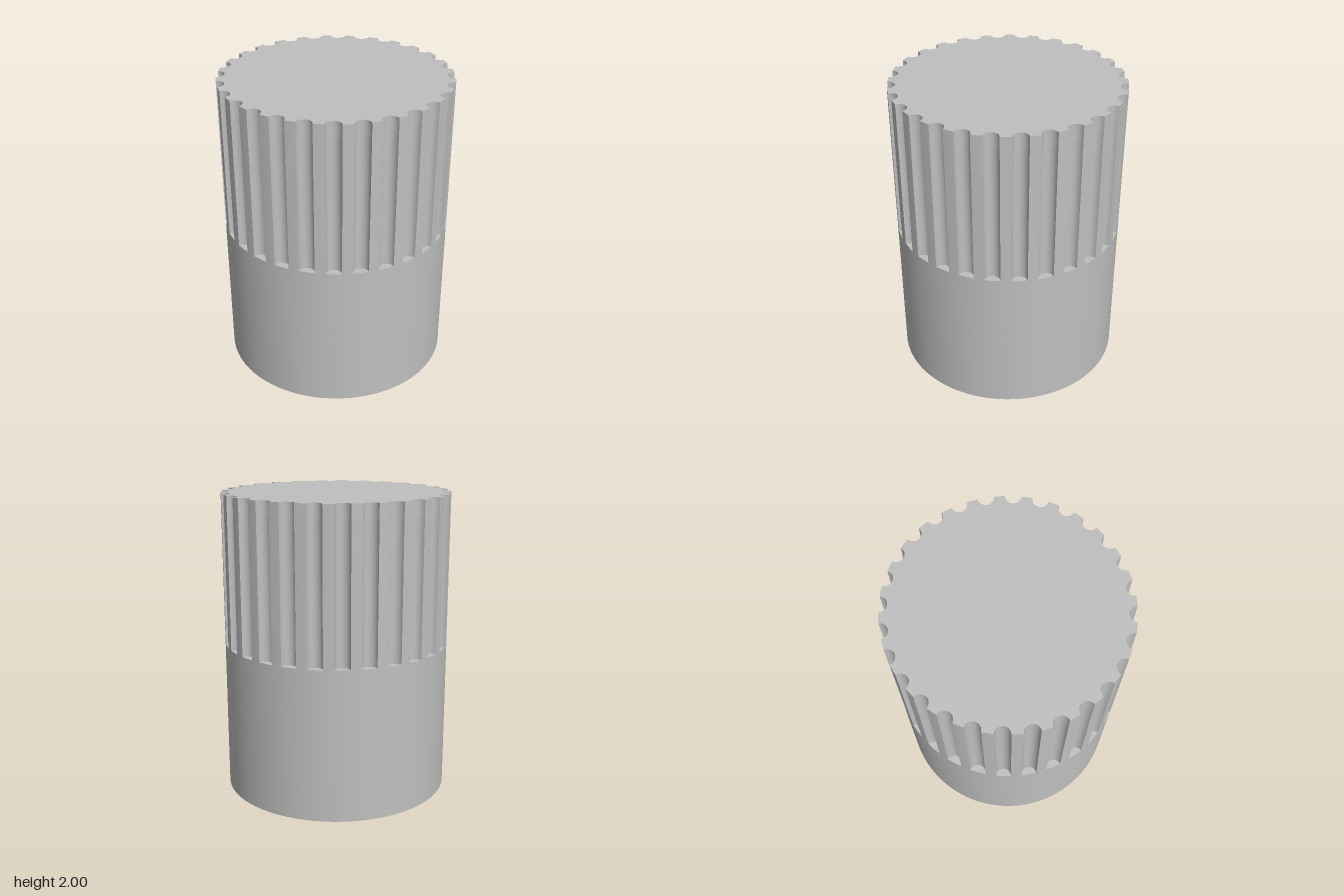
import * as THREE from 'three';
import { toCreasedNormals } from 'three/addons/utils/BufferGeometryUtils.js';

const R = 0.75, INNER = 0.66, FLUTES = 28, FLUTE_R = 0.05, SEGMENTS = 112;
const BASE = 1, CEILING = 1.9, TOP = 2;

// Circle outline with half-round notches cut into its edge
function flutedShape() {
  const shape = new THREE.Shape();
  const step = (Math.PI * 2) / FLUTES;
  const half = 2 * Math.asin(FLUTE_R / (2 * R));      // half a notch, seen from the axis
  const sweep = Math.acos(-FLUTE_R / (2 * R));        // notch end, seen from its own centre
  for (let i = 0; i < FLUTES; i++) {
    const a = i * step;
    shape.absarc(Math.cos(a) * R, Math.sin(a) * R, FLUTE_R, a - sweep, a + sweep, true);
    shape.absarc(0, 0, R, a + half, a + step - half, false);
  }
  return shape;
}

// Upright extrusion between two heights
function extrudeUp(shape, y0, y1) {
  const g = new THREE.ExtrudeGeometry(shape, { depth: y1 - y0, bevelEnabled: false, curveSegments: 5 });
  g.rotateX(-Math.PI / 2).translate(0, y0, 0);
  return toCreasedNormals(g, 0.6);
}

export function createModel() {
  const group = new THREE.Group();
  group.name = 'knob';
  const grey = new THREE.MeshStandardMaterial({ color: 0xbfbfbf });
  grey.name = 'lightGrey';
  const add = (name, geometry) => {
    const mesh = new THREE.Mesh(geometry, grey);
    mesh.name = name;
    group.add(mesh);
  };

  // Plain hollow sleeve, with the ledge where the flutes stop
  const profile = [[INNER, BASE], [INNER, 0], [R, 0], [R, BASE], [R - FLUTE_R - 0.01, BASE]]
    .map(([x, y]) => new THREE.Vector2(x, y));
  add('lowerSleeve', toCreasedNormals(new THREE.LatheGeometry(profile, SEGMENTS), 0.6));

  // Fluted grip wall around the bore
  const wall = flutedShape();
  const bore = new THREE.Path();
  bore.setFromPoints(Array.from({ length: SEGMENTS }, (_, i) => {
    const a = (i / SEGMENTS) * Math.PI * 2;
    return new THREE.Vector2(Math.cos(a) * INNER, Math.sin(a) * INNER);
  }));
  wall.holes.push(bore);
  add('flutedGrip', extrudeUp(wall, BASE, CEILING));

  // Solid top closing the bore
  add('topCap', extrudeUp(flutedShape(), CEILING, TOP));

  return group;
}
